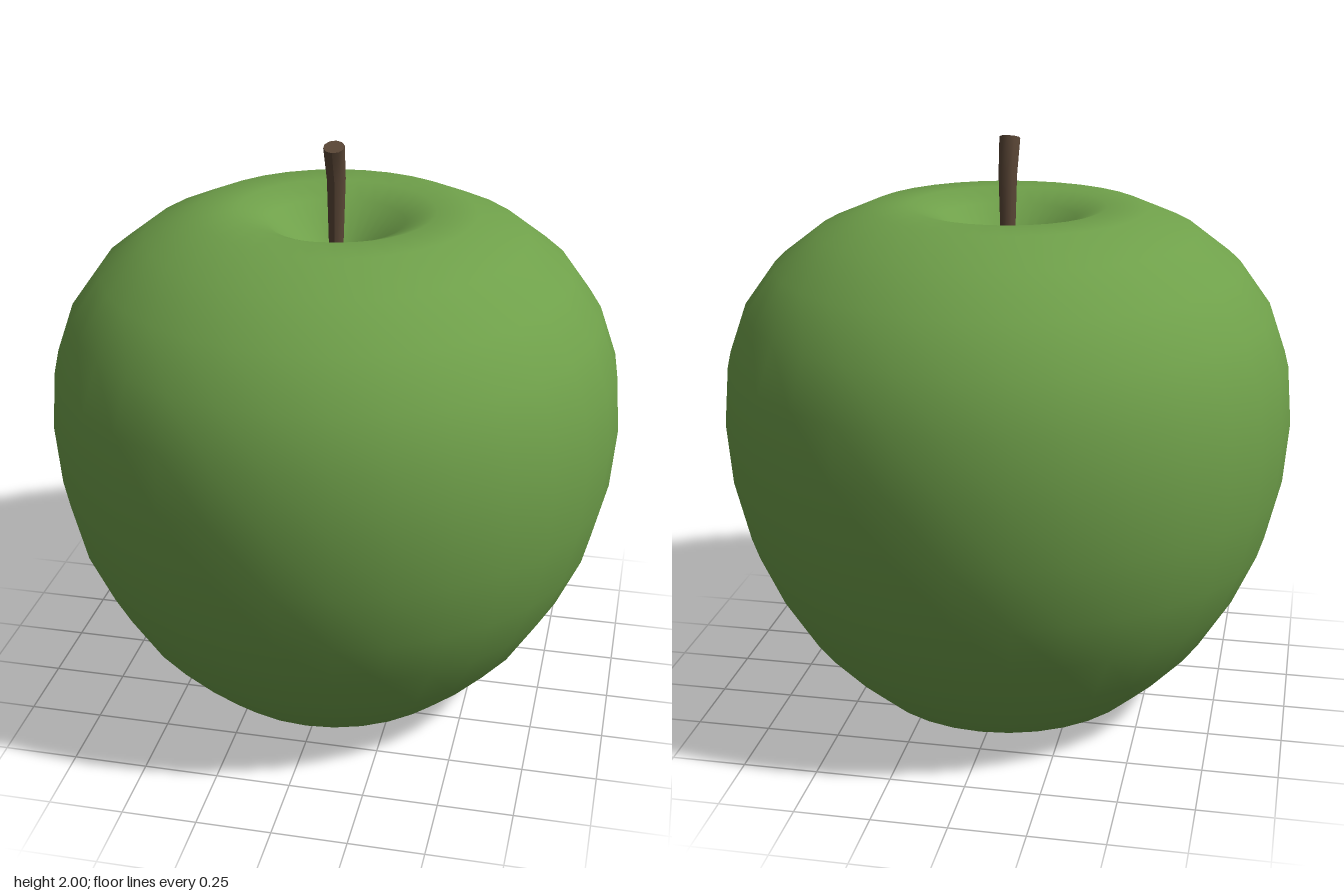
import * as THREE from 'three';

// Half outline of the fruit [radius, height], from the lower dimple to the stem hollow
const PROFILE = [
  [0, 0.13], [0.1, 0.1], [0.19, 0.03], [0.28, 0], [0.39, 0.01],
  [0.49, 0.06], [0.59, 0.15], [0.71, 0.28], [0.82, 0.46], [0.9, 0.64],
  [0.95, 0.85], [0.967, 1.06], [0.95, 1.26], [0.89, 1.43], [0.785, 1.575],
  [0.635, 1.69], [0.465, 1.763], [0.33, 1.768], [0.23, 1.73], [0.12, 1.63], [0.05, 1.56], [0, 1.54],
];

// Stem sections from tip to root: centre height, centre z, radius, lean
const STEM = [
  { y: 1.988, z: 0.034, r: 0.035, lean: 0.34 },
  { y: 1.87, z: -0.002, r: 0.031, lean: 0.17 },
  { y: 1.5, z: 0, r: 0.02, lean: 0 },
];

function makeFlesh() {
  const points = PROFILE.map(([r, y]) => new THREE.Vector2(r, y));
  const mesh = new THREE.Mesh(
    new THREE.LatheGeometry(points, 32),
    new THREE.MeshStandardMaterial({ color: 0x6fa04a })
  );
  mesh.name = 'flesh';
  return mesh;
}

function makeStem() {
  // Unit cylinder whose three rings are moved onto the stem sections
  const geometry = new THREE.CylinderGeometry(1, 1, 2, 10, 2);
  const pos = geometry.attributes.position;
  for (let i = 0; i < pos.count; i++) {
    const s = STEM[Math.round(1 - pos.getY(i))];
    const x = pos.getX(i) * s.r;
    const d = pos.getZ(i) * s.r;
    pos.setXYZ(i, x, s.y - d * Math.sin(s.lean), s.z + d * Math.cos(s.lean));
  }
  geometry.computeVertexNormals();
  const mesh = new THREE.Mesh(geometry, new THREE.MeshStandardMaterial({ color: 0x5a4636 }));
  mesh.name = 'stem';
  return mesh;
}

export function createModel() {
  const group = new THREE.Group();
  group.name = 'apple';
  group.add(makeFlesh(), makeStem());
  return group;
}
